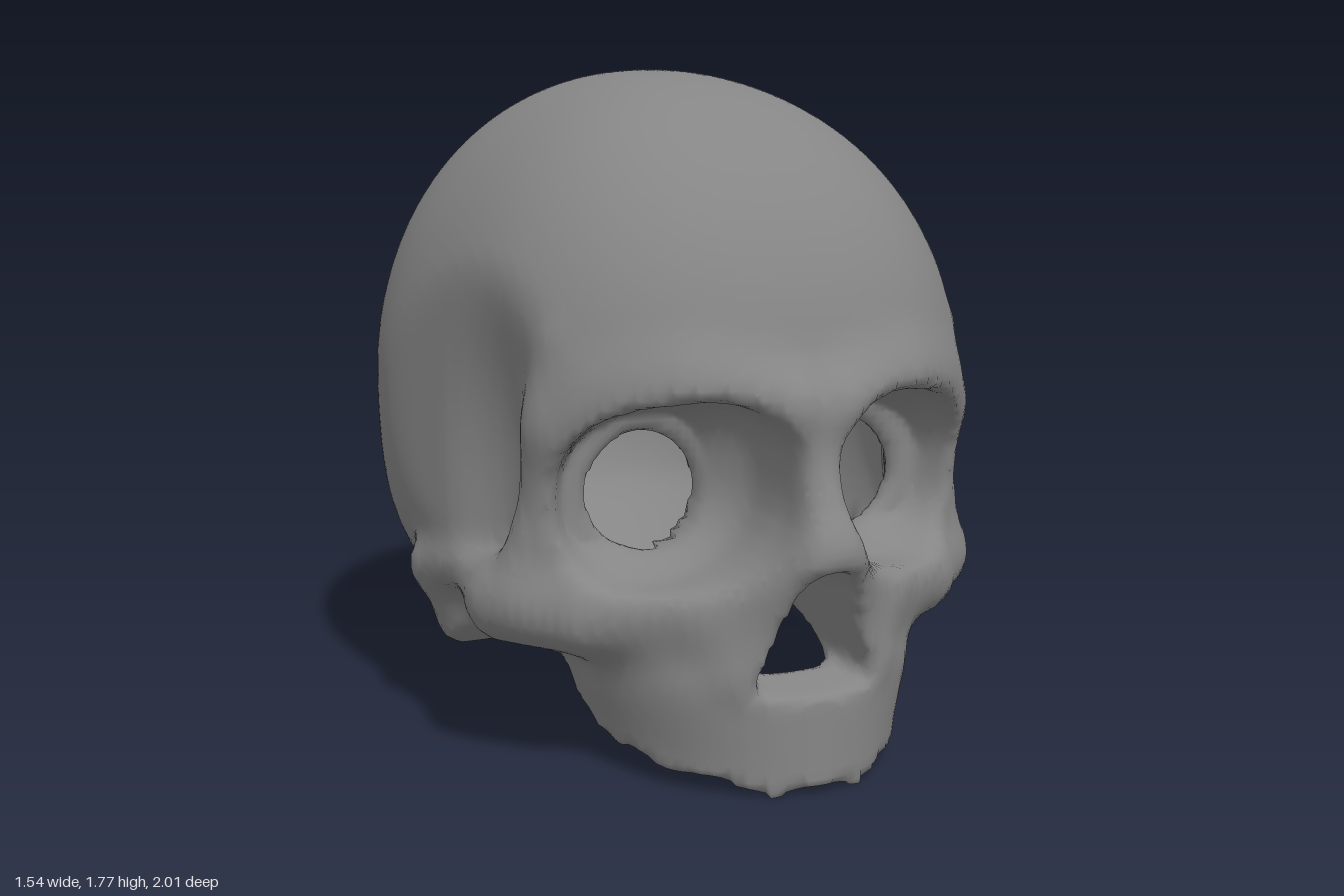
import * as THREE from 'three';

// ---- small sculpting helpers (signed distances, negative = inside) ----
const { abs, max, min, hypot, pow } = Math;
const clamp01 = (t) => min(1, max(0, t));
const step = (a, b, v) => { const t = clamp01((v - a) / (b - a)); return t * t * (3 - 2 * t); };
const join = (a, b, k) => { const h = max(k - abs(a - b), 0) / k; return min(a, b) - h * h * k / 4; };
const limit = (a, b, k) => -join(-a, -b, k);
const carve = (a, b, k) => limit(a, -b, k);

// Ellipsoid with separate roundness for its plan (p) and its height (py)
function ellipsoid(x, y, z, rx, ry, rz, p = 2, py = 2) {
  const plan = pow(pow(abs(x / rx), p) + pow(abs(z / rz), p), 1 / p);
  const q = pow(pow(plan, py) + pow(abs(y / ry), py), 1 / py);
  const slope = hypot(x / rx / rx, y / ry / ry, z / rz / rz);
  return (q - 1) * (hypot(x / rx, y / ry, z / rz) + 1e-4) / (slope + 1e-4);
}

// Rounded bar through points [x, y, z, radius]
function bar(x, y, z, pts) {
  let d = 9;
  for (let i = 0; i + 1 < pts.length; i++) {
    const [ax, ay, az, ar] = pts[i], [bx, by, bz, br] = pts[i + 1];
    const ux = bx - ax, uy = by - ay, uz = bz - az;
    const t = clamp01(((x - ax) * ux + (y - ay) * uy + (z - az) * uz) / (ux * ux + uy * uy + uz * uz));
    d = min(d, hypot(x - ax - ux * t, y - ay - uy * t, z - az - uz * t) - ar - (br - ar) * t);
  }
  return d;
}

// Bone bars on one side with their blend width; the other side mirrors them
const BARS = [
  [0.12, [[0.06, 0.95, 0.855, 0.07], [0.28, 0.99, 0.75, 0.07], [0.44, 0.97, 0.61, 0.065], [0.53, 0.9, 0.55, 0.06]]], // brow
  [0.06, [[0.53, 1.1, 0.54, 0.035], [0.55, 0.9, 0.54, 0.055], [0.57, 0.68, 0.5, 0.055], [0.6, 0.48, 0.46, 0.08]]], // socket side
  [0.1, [[0.28, 0.46, 0.68, 0.09], [0.48, 0.43, 0.57, 0.1], [0.62, 0.43, 0.4, 0.09]]], // cheek
  [0.06, [[0.63, 0.45, 0.38, 0.08], [0.66, 0.48, 0.2, 0.05], [0.69, 0.45, -0.02, 0.06]]], // arch
  [0.08, [[0.63, 0.4, -0.03, 0.08], [0.58, 0.29, -0.05, 0.095]]], // mastoid
  [0.08, [[0, 0.9, 0.81, 0.07], [0, 0.62, 0.92, 0.078]]], // nose bridge
  [0.08, [[0.03, 0.6, 0.91, 0.06], [0.16, 0.33, 0.8, 0.06]]], // nose wing
  [0.1, [[0.03, 0.62, 0.89, 0.05], [0.2, 0.46, 0.74, 0.08]]], // nose flank
];

// Heights along z, [z, y]: lower edge of the open underside, and top of the inner floor
const EDGE = [[-1.2, 0.15], [-0.35, 0.15], [-0.05, 0.2], [0.08, 0.31], [0.25, 0.25], [0.33, 0.24],
  [0.4, 0.14], [0.55, 0.08], [0.8, 0.045], [0.93, 0.005], [1.2, 0.005]];
const FLOOR = [[-1.2, 0.1], [-0.55, 0.2], [-0.25, 0.36], [0.35, 0.4], [0.5, 0], [1.2, 0]];
function heightAt(table, z) {
  let i = 0;
  while (i < table.length - 2 && z > table[i + 1][0]) i++;
  const [z0, y0] = table[i], [z1, y1] = table[i + 1];
  return y0 + (y1 - y0) * clamp01((z - z0) / (z1 - z0));
}

// Pear-shaped nose opening
const noseOpening = (x, y) => limit(0.93 * (x - 0.175) + 0.37 * (y - 0.27), max(0.255 - y, y - 0.58), 0.05);

// The whole bone as a hollow shell
function skull(px, y, z) {
  const x = abs(px);

  // braincase with flattened, slightly hollow temples
  const plan = z > -0.15 ? 2 + 0.45 * step(-0.15, 0.4, z) : 2 + 0.25 * step(0.8, 0.35, y) * step(-0.15, -0.4, z);
  let d = ellipsoid(x, y - 0.9, z + 0.15, 0.77, y > 0.9 ? 0.885 : 0.8, z > -0.15 ? 1.0 : 0.85,
    plan, 2.1 + 0.4 * step(1.2, 0.6, y));
  d = limit(d, 0.961 * x + 0.276 * z - 0.71, 0.02);
  d = carve(d, ellipsoid(x - 0.76, y - 0.8, z - 0.4, 0.17, 0.38, 0.2), 0.1);

  // upper jaw
  const front = 0.515 - 0.12 * step(0.25, 0.6, y);
  const width = 0.41 + 0.05 * step(0.05, 0.3, y);
  const jaw = (hypot(x / width, (z - 0.4) / (z > 0.4 ? front : 0.14)) - 1) * 0.42;
  d = join(d, limit(jaw, y - 0.56, 0.1), 0.06);

  // facial bones
  for (const [blend, points] of BARS) d = join(d, bar(x, y, z, points), blend);

  // slanted eye sockets and nose recess, both narrowing towards the back
  const sx = x - 0.325, sy = y - 0.74 + 0.13 * sx;
  const q = pow(pow(abs(sx) / 0.255, 2.4) + pow(abs(sy) / 0.222, 2.4), 1 / 2.4);
  const socket = max((q - 0.66 - 0.38 * step(0.42, 0.68, z)) * 0.23, 0.5 - z);
  d = carve(d, socket, 0.04);
  const nose = noseOpening(x, y);
  d = carve(d, max(nose + 0.17 * max(0, 0.92 - z), 0.64 - z), 0.015);

  // hollow out above the floor, then pierce sockets, nose and underside
  const hollow = limit(d + 0.055 + 0.03 * step(0.5, 0.3, y), heightAt(FLOOR, z) - y, 0.05);
  d = max(d, -hollow);
  d = max(d, -max(hypot(x - 0.29, y - 0.71) - 0.15, 0.25 - z));
  d = max(d, -max(nose + 0.055, 0.4 - z));
  const teeth = 0.01 * Math.cos(Math.atan2(x, z - 0.4) * 12) * step(0.35, 0.5, z);
  d = max(d, (heightAt(EDGE, z) + teeth - y) * 0.8);
  return max(d, -ellipsoid(x, y - 0.1, z - 0.1, 0.36, 0.46, 0.72));
}

// Part name for a point on the surface
function partAt(x, y, z) {
  if (z > 0.35 && y < 0.36 && abs(x) < 0.5) return 'upperJaw';
  if (z > 0.45 && abs(x) < 0.13 && y < 0.86) return 'nose';
  if (z > 0.4 && y > 0.48 && y < 1.06) return 'eyeSockets';
  if (z > -0.1 && abs(x) > 0.4 && y < 0.56) return 'cheekbones';
  return 'cranium';
}

// Skin a field with quads: one vertex per crossed cell, one quad per crossed edge
function skinField(field, lo, size, h) {
  const n = size.map((s) => Math.ceil(s / h) + 1);
  const stride = [1, n[0], n[0] * n[1]];
  const f = new Float32Array(n[0] * n[1] * n[2]);
  const each = (from, to, fn) => {
    for (let k = from; k < n[2] - to; k++)
      for (let j = from; j < n[1] - to; j++)
        for (let i = from; i < n[0] - to; i++) fn(i, j, k, i + j * stride[1] + k * stride[2]);
  };
  each(0, 0, (i, j, k, id) => { f[id] = field(lo[0] + i * h, lo[1] + j * h, lo[2] + k * h); });

  const positions = [], cell = new Int32Array(f.length).fill(-1);
  each(0, 1, (i, j, k, id) => {
    const sum = [0, 0, 0];
    let count = 0;
    for (let a = 0; a < 3; a++) {
      const b = (a + 1) % 3, c = (a + 2) % 3;
      for (let m = 0; m < 4; m++) {
        const ob = m & 1, oc = m >> 1;
        const s = id + ob * stride[b] + oc * stride[c];
        const v0 = f[s], v1 = f[s + stride[a]];
        if ((v0 < 0) === (v1 < 0)) continue;
        sum[a] += v0 / (v0 - v1); sum[b] += ob; sum[c] += oc;
        count++;
      }
    }
    if (!count) return;
    cell[id] = positions.length / 3;
    positions.push(...[i, j, k].map((g, a) => lo[a] + h * (g + sum[a] / count)));
  });

  const quads = [];
  each(1, 1, (i, j, k, id) => {
    for (let a = 0; a < 3; a++) {
      const inside = f[id] < 0;
      if (inside === (f[id + stride[a]] < 0)) continue;
      const b = stride[(a + 1) % 3], c = stride[(a + 2) % 3];
      const quad = [cell[id - b - c], cell[id - c], cell[id], cell[id - b]];
      quads.push(inside ? quad : quad.reverse());
    }
  });
  return { positions, quads };
}

export function createModel() {
  const group = new THREE.Group();
  group.name = 'skull';
  const { positions, quads } = skinField(skull, [-0.864, -0.06, -1.08], [1.728, 1.92, 2.16], 0.024);

  // sort the quads into named parts that share one smooth surface
  const parts = {}, all = [];
  for (const [a, b, c, d] of quads) {
    const mid = [0, 1, 2].map((s) => (positions[a * 3 + s] + positions[c * 3 + s]) / 2);
    const tris = [a, b, c, a, c, d];
    (parts[partAt(...mid)] ??= []).push(...tris);
    all.push(...tris);
  }
  const whole = new THREE.BufferGeometry();
  whole.setAttribute('position', new THREE.Float32BufferAttribute(positions, 3));
  whole.setIndex(all);

  // stand on the ground, centred front to back
  whole.computeBoundingBox();
  const { min: lo, max: hi } = whole.boundingBox;
  whole.translate(0, -lo.y, -(lo.z + hi.z) / 2);
  whole.computeVertexNormals();

  const bone = new THREE.MeshStandardMaterial({ color: 0x858585, side: THREE.DoubleSide });
  for (const [name, index] of Object.entries(parts)) {
    const geometry = new THREE.BufferGeometry();
    geometry.setAttribute('position', whole.attributes.position);
    geometry.setAttribute('normal', whole.attributes.normal);
    geometry.setIndex(index);
    const mesh = new THREE.Mesh(geometry, bone);
    mesh.name = name;
    group.add(mesh);
  }
  return group;
}
